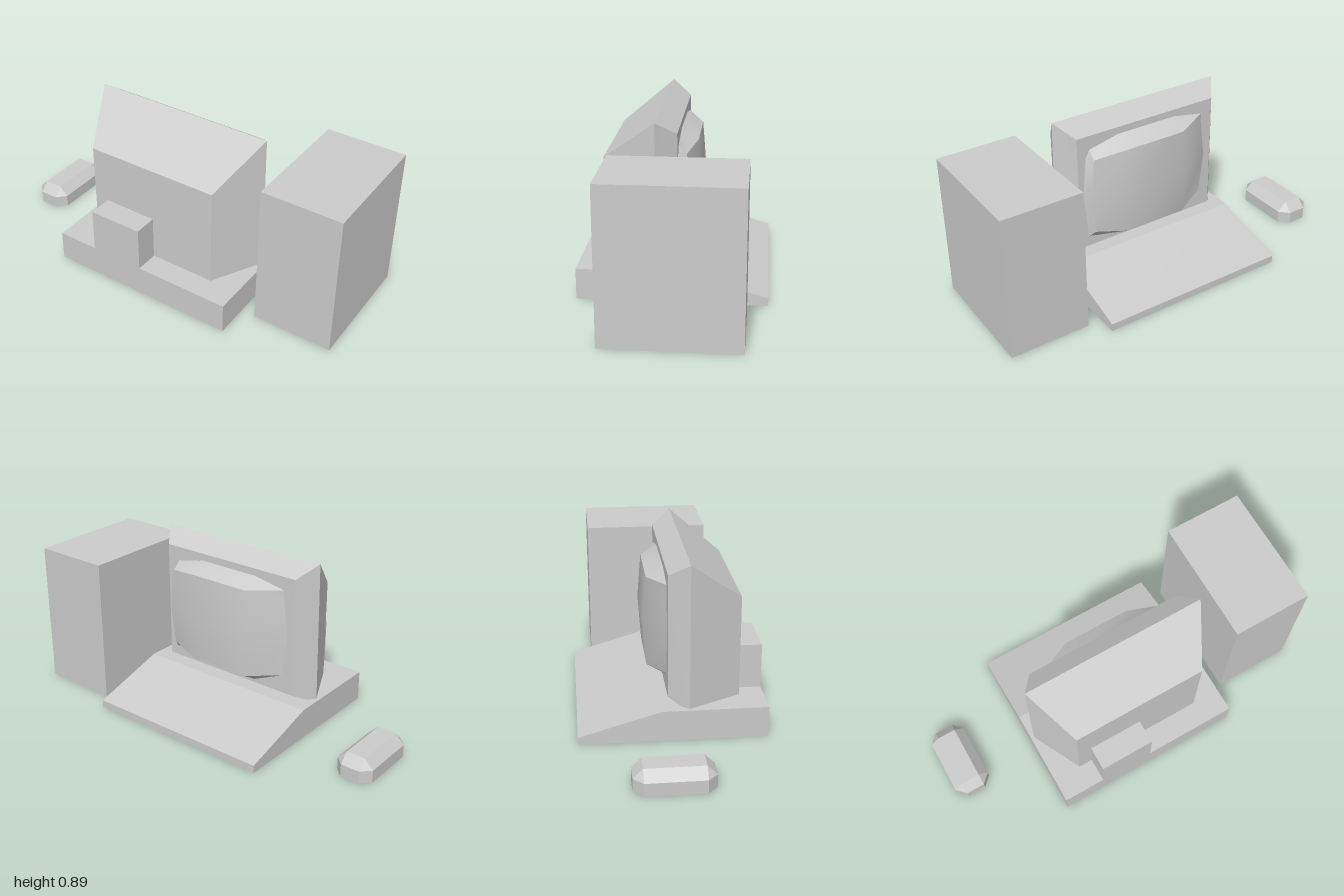
import * as THREE from 'three';
import { toCreasedNormals } from 'three/addons/utils/BufferGeometryUtils.js';

const grey = new THREE.MeshStandardMaterial({ color: 0xcccccc });
const greyOpen = new THREE.MeshStandardMaterial({ color: 0xcccccc, side: THREE.DoubleSide });

// Skin a series of rings; rings run counter-clockwise seen from the first one
function loft(rings, { closed = true, startCap = false, endCap = false, crease = 0.1 } = {}) {
  const pos = [];
  const tri = (...pts) => pts.forEach((p) => pos.push(...p));
  const n = rings[0].length;
  for (let r = 0; r < rings.length - 1; r++) {
    for (let i = 0; i < (closed ? n : n - 1); i++) {
      const j = (i + 1) % n;
      const a = rings[r][i], b = rings[r][j], c = rings[r + 1][i], d = rings[r + 1][j];
      tri(a, c, b);
      tri(b, c, d);
    }
  }
  const last = rings[rings.length - 1];
  for (let i = 1; i < n - 1; i++) {
    if (startCap) tri(rings[0][0], rings[0][i], rings[0][i + 1]);
    if (endCap) tri(last[0], last[i + 1], last[i]);
  }
  const g = new THREE.BufferGeometry();
  g.setAttribute('position', new THREE.Float32BufferAttribute(pos, 3));
  return toCreasedNormals(g, crease);
}

export function createModel() {
  const model = new THREE.Group();
  const add = (name, geometry, material = grey) => {
    const mesh = new THREE.Mesh(geometry, material);
    mesh.name = name;
    model.add(mesh);
  };
  // Box given by its limits
  const box = (x0, x1, y0, y1, z0, z1) =>
    new THREE.BoxGeometry(x1 - x0, y1 - y0, z1 - z0)
      .translate((x0 + x1) / 2, (y0 + y1) / 2, (z0 + z1) / 2);

  // Keyboard base: wedge profile in z/y, extruded across x
  const profile = new THREE.Shape([
    [-0.47, 0], [0.47, 0], [0.47, 0.16], [-0.06, 0.16], [-0.47, 0.04],
  ].map(([z, y]) => new THREE.Vector2(-z, y)));
  const base = new THREE.ExtrudeGeometry(profile, { depth: 1.02, bevelEnabled: false });
  base.rotateY(Math.PI / 2).translate(-0.515, 0, 0);
  add('keyboardBase', base);

  add('tower', box(0.58, 1, 0, 0.765, -0.37, 0.29));
  add('connectorBlock', box(-0.29, 0, 0.15, 0.395, 0.3, 0.47));

  // Monitor housing: narrow end, widest rim, then the bezel face
  const section = (xl, xr, y0, y1, z, flare = 0) => [
    [xr + flare, y0, z], [xr, y1, z], [xl, y1, z], [xl - flare, y0, z],
  ];
  add('monitorHousing', loft([
    section(-0.365, 0.35, 0.15, 0.685, 0.345),
    section(-0.488, 0.482, 0.14, 0.895, 0.08, 0.01),
    section(-0.415, 0.405, 0.19, 0.825, -0.02),
  ], { startCap: true, endCap: true }));

  // Bulging screen: rows from top to bottom, each [y, bulge, half-width]
  const plan = [[1, -0.015], [0.93, -0.06], [0.48, -0.105], [-0.48, -0.105], [-1, -0.015]];
  const rows = [[0.79, 0, 0.36], [0.735, 1, 0.36], [0.5, 1.16, 0.38], [0.26, 1, 0.36], [0.205, 0, 0.36]];
  add('screen', loft(rows.map(([y, bulge, w]) => plan.map(([u, z]) => [
    u * w,
    // outer ends of the upper and lower edges sit a little closer to the middle
    Math.abs(u) > 0.6 ? 0.5 + (y - 0.5) * 0.88 : y,
    bulge === 0 ? -0.015 : z * bulge,
  ])), { closed: false, crease: 0.6 }), greyOpen);

  // Mouse: octagonal shell with a rectangular top, open underneath
  const outline = (y, cut) => {
    const [x0, x1, z0, z1] = [-1, -0.805, -0.235, 0.15];
    const [a, b, c, d] = [x0 + 0.048, x1 - 0.048, z0 + 0.048, z1 - 0.048];
    return cut
      ? [[x1, c], [b, z0], [a, z0], [x0, c], [x0, d], [a, z1], [b, z1], [x1, d]].map(([x, z]) => [x, y, z])
      : [[b, c], [b, c], [a, c], [a, c], [a, d], [a, d], [b, d], [b, d]].map(([x, z]) => [x, y, z]);
  };
  add('mouse', loft([outline(0.115, false), outline(0.067, true), outline(0, true)],
    { startCap: true }), greyOpen);

  return model;
}
